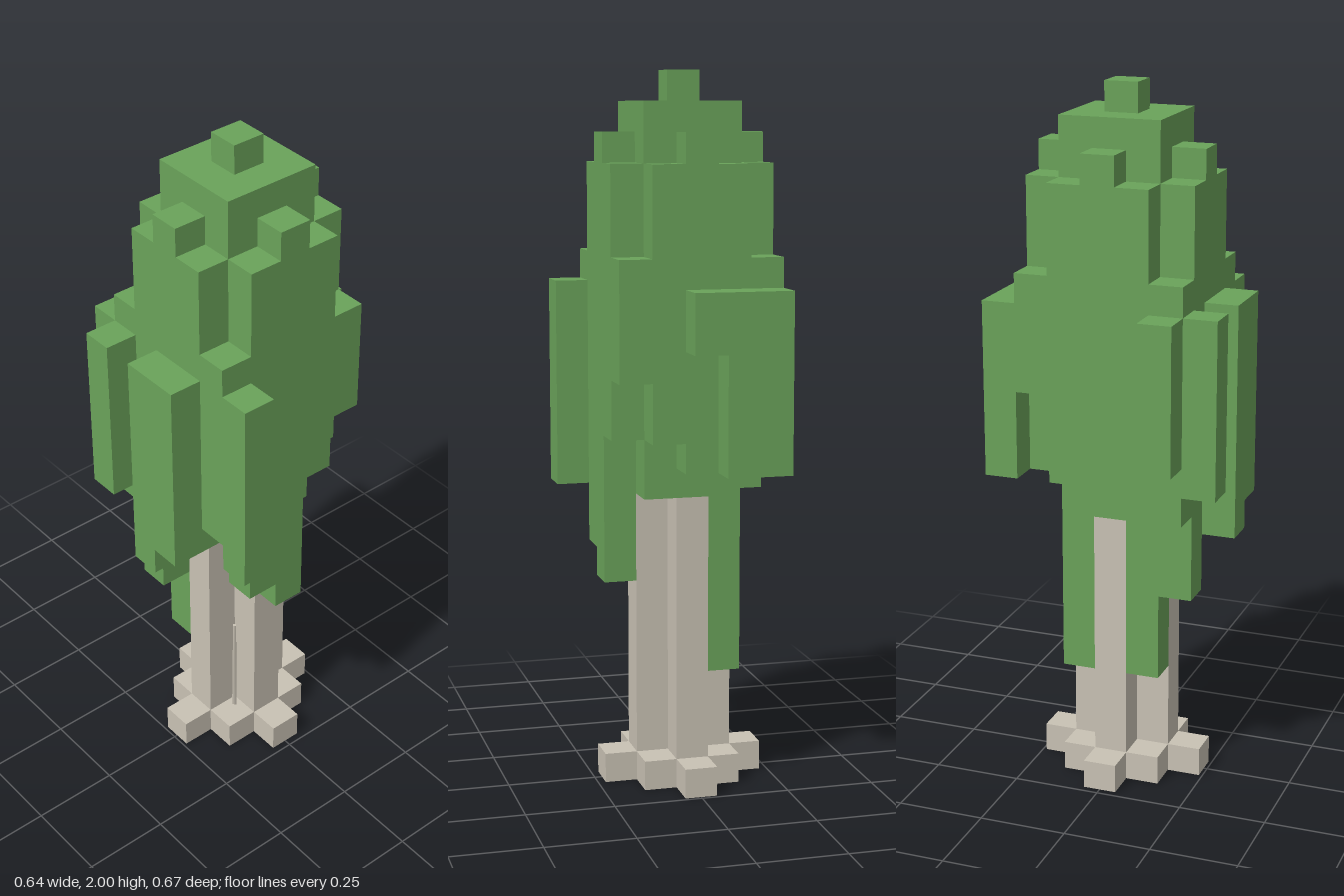
import * as THREE from 'three';

// Size of one block
const SX = 0.0915, SY = 1 / 12, SZ = 0.096;

// Lowest foliage layer per column (rows run back to front, 0 = empty)
const FOLIAGE_BOTTOM = [
  [0, 11, 11, 15, 0, 0, 0],
  [0, 14, 11, 11, 12, 14, 0],
  [0, 11, 4, 10, 10, 12, 0],
  [0, 10, 10, 10, 10, 7, 0],
  [0, 10, 4, 10, 10, 8, 0],
  [12, 10, 7, 9, 10, 11, 10],
  [0, 11, 0, 9, 10, 0, 0],
];

// Crown steps down from the middle outwards
function foliageTop(i, j) {
  const far = Math.max(Math.abs(i), Math.abs(j));
  const near = Math.min(Math.abs(i), Math.abs(j));
  return far === 2 ? [22, 21, 18][near] : [24, 23, 0, 17][far];
}

function foliageSpan(i, j) {
  const bottom = FOLIAGE_BOTTOM[j + 3]?.[i + 3];
  return bottom ? [bottom, foliageTop(i, j)] : null;
}

// Cross-shaped trunk on a diamond of one-block roots
function trunkSpan(i, j) {
  const d = Math.abs(i) + Math.abs(j);
  return d <= 1 ? [0, 10] : d === 2 ? [0, 1] : null;
}

// Outer skin of block columns; span(i, j) gives [bottom, top] or null
function columnShell(span) {
  const positions = [];
  const quad = (a, b, c, d) => {
    for (const [x, y, z] of [a, b, c, a, c, d]) positions.push(x * SX, y * SY, z * SZ);
  };
  for (let i = -3; i <= 3; i++) {
    for (let j = -3; j <= 3; j++) {
      const own = span(i, j);
      if (!own) continue;
      const [b, t] = own;
      const x0 = i - 0.5, x1 = i + 0.5, z0 = j - 0.5, z1 = j + 0.5;
      quad([x0, t, z1], [x1, t, z1], [x1, t, z0], [x0, t, z0]);
      quad([x0, b, z0], [x1, b, z0], [x1, b, z1], [x0, b, z1]);
      // Four sides, only where the neighbour does not cover them
      for (const [dx, dz] of [[1, 0], [-1, 0], [0, 1], [0, -1]]) {
        const next = span(i + dx, j + dz);
        const open = next ? [[b, Math.min(t, next[0])], [Math.max(b, next[1]), t]] : [[b, t]];
        const cx = i + dx / 2, cz = j + dz / 2, ux = dz / 2, uz = -dx / 2;
        for (const [lo, hi] of open) {
          if (hi <= lo) continue;
          quad([cx - ux, lo, cz - uz], [cx + ux, lo, cz + uz],
            [cx + ux, hi, cz + uz], [cx - ux, hi, cz - uz]);
        }
      }
    }
  }
  const geometry = new THREE.BufferGeometry();
  geometry.setAttribute('position', new THREE.Float32BufferAttribute(positions, 3));
  geometry.computeVertexNormals();
  return geometry;
}

export function createModel() {
  const group = new THREE.Group();
  group.name = 'blockTree';

  const leafGreen = new THREE.MeshStandardMaterial({ color: 0x6aa35a });
  leafGreen.name = 'leafGreen';
  const paleBark = new THREE.MeshStandardMaterial({ color: 0xc9c2b4 });
  paleBark.name = 'paleBark';

  const add = (name, geometry, material) => {
    const mesh = new THREE.Mesh(geometry, material);
    mesh.name = name;
    group.add(mesh);
    return mesh;
  };

  add('trunkAndRoots', columnShell(trunkSpan), paleBark);
  add('foliage', columnShell(foliageSpan), leafGreen);

  // Thin splinter standing in the front corner of the trunk
  const splinter = add('barkSplinter', new THREE.CylinderGeometry(0.006, 0.009, 0.317, 4), paleBark);
  splinter.position.set(0.066, 0.242, 0.066);
  splinter.rotation.set(-0.02, 0, 0.02);

  return group;
}
